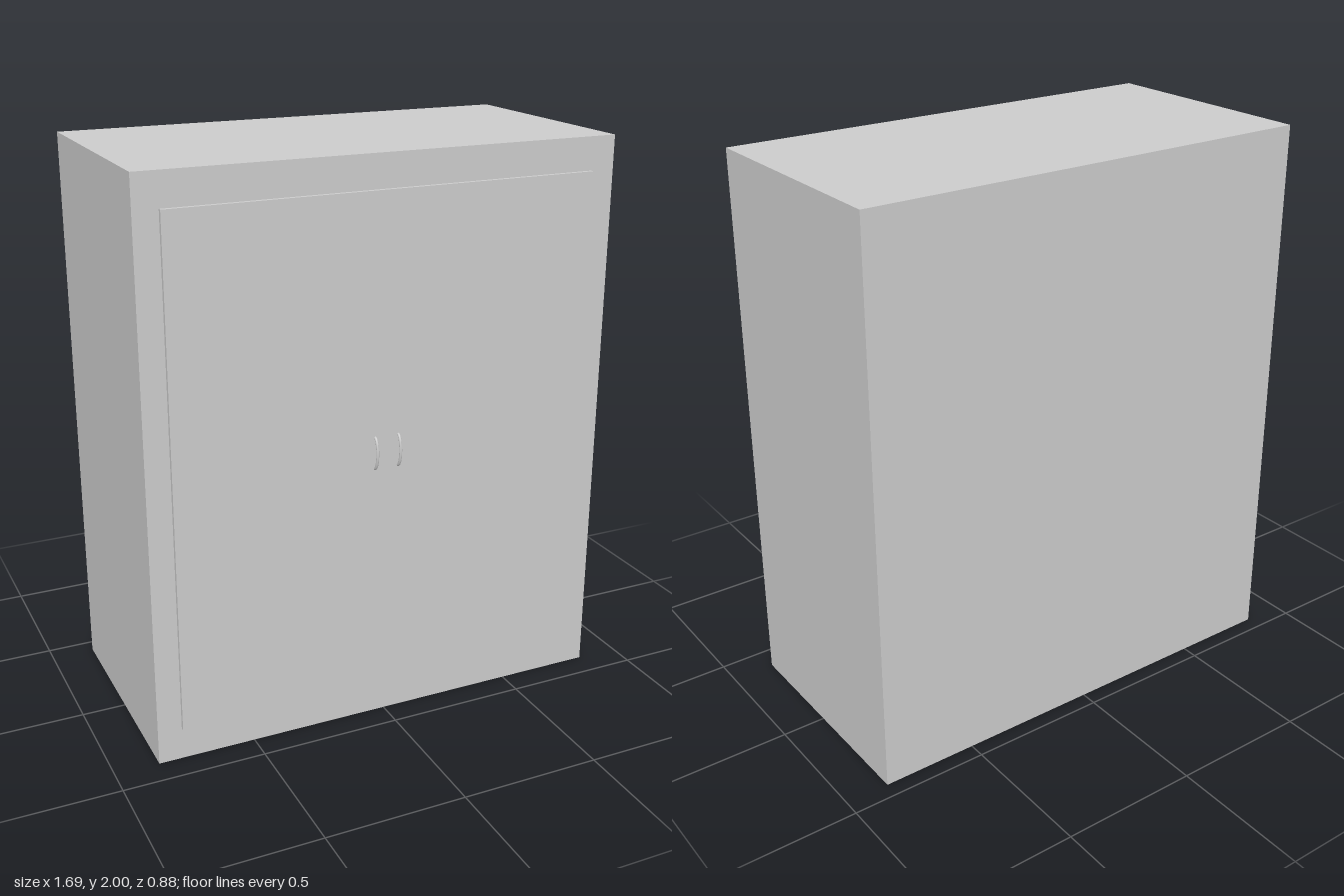
import * as THREE from 'three';

const material = new THREE.MeshStandardMaterial({ color: 0xcccccc });

function addMesh(group, name, geometry, x, y, z) {
  const mesh = new THREE.Mesh(geometry, material);
  mesh.name = name;
  mesh.position.set(x, y, z);
  group.add(mesh);
}

// Bowed pull: a slim tube arching forward, its ends sunk into the door
function handleGeometry() {
  const points = [];
  for (let i = 0; i <= 8; i++) {
    const a = (i / 8 - 0.5) * Math.PI;
    points.push(new THREE.Vector3(0, 0.057 * Math.sin(a), 0.024 * Math.cos(a) - 0.005));
  }
  return new THREE.TubeGeometry(new THREE.CatmullRomCurve3(points), 24, 0.005, 10);
}

export function createModel() {
  const group = new THREE.Group();
  group.name = 'cabinet';

  // Solid carcass
  addMesh(group, 'cabinetBody', new THREE.BoxGeometry(1.69, 2, 0.846), 0, 1, -0.019);

  // Raised front panel carrying the doors
  addMesh(group, 'doorPanel', new THREE.BoxGeometry(1.518, 1.77, 0.03), -0.002, 1, 0.403);

  // Pair of handles either side of the middle
  const handle = handleGeometry();
  addMesh(group, 'rightHandle', handle, -0.05, 1, 0.418);
  addMesh(group, 'leftHandle', handle, 0.036, 1, 0.418);

  return group;
}
